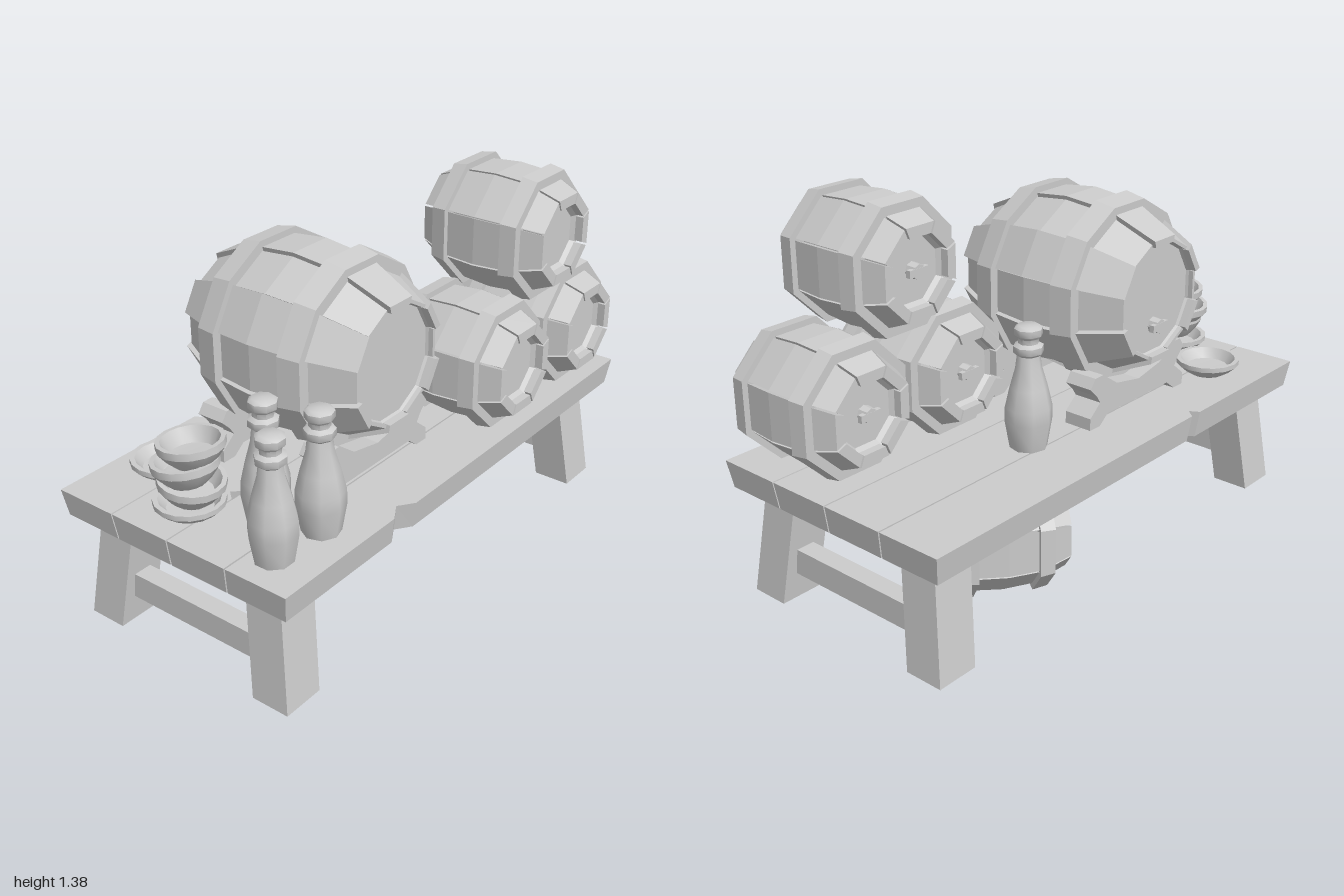
import * as THREE from 'three';
import { toCreasedNormals } from 'three/addons/utils/BufferGeometryUtils.js';

const flat = new THREE.MeshStandardMaterial({ color: 0xcccccc, flatShading: true });
const smooth = new THREE.MeshStandardMaterial({ color: 0xcccccc });

function add(parent, name, geometry, material = flat) {
  const mesh = new THREE.Mesh(geometry, material);
  mesh.name = name;
  parent.add(mesh);
  return mesh;
}

// Move every vertex of a geometry by a rule
function reshape(geometry, rule) {
  const p = geometry.attributes.position;
  const v = new THREE.Vector3();
  for (let i = 0; i < p.count; i++) {
    rule(v.fromBufferAttribute(p, i));
    p.setXYZ(i, v.x, v.y, v.z);
  }
  geometry.computeVertexNormals();
  return geometry;
}

const points = (list) => list.map(([x, y]) => new THREE.Vector2(x, y));

// Regular prism turned about the x axis; profile is [apothem, x]
function turnedX(profile, sides) {
  const k = 1 / Math.cos(Math.PI / sides);
  const pts = points(profile.map(([r, x]) => [r * k, x]));
  return new THREE.LatheGeometry(pts, sides, Math.PI / sides).rotateZ(-Math.PI / 2);
}

// Barrel lying along x, centred on its own origin
function barrel(name, o) {
  const group = new THREE.Group();
  group.name = name;
  // Staves, bulging at the middle
  for (let i = 0; i < o.sides; i++) {
    const low = i % 2 ? o.step : 0;
    const geo = reshape(new THREE.BoxGeometry(1, 1, 1, 4, 1, 1), (v) => {
      const r = v.y > 0 ? o.radii[Math.round(Math.abs(v.x) * 4)] - low : o.inner;
      v.set(v.x * (o.length - low * 2), r, Math.sign(v.z) * (r * Math.tan(Math.PI / o.sides) - o.gap));
    });
    add(group, 'stave', geo.rotateX((i / o.sides) * Math.PI * 2));
  }
  // Recessed heads with a bevelled rim
  const h = o.length / 2 - o.recess;
  const r = o.inner + 0.004;
  add(group, 'heads', turnedX([
    [0, -h], [r * o.bevel, -h], [r, -h - 0.02], [r, h + 0.02], [r * o.bevel, h], [0, h]], o.sides));
  // Two hoops
  for (const s of [-1, 1]) {
    const w = o.hoopWidth / 2;
    const ring = [[o.hoopIn, -w], [s < 0 ? o.hoopEdge : o.hoop, -w],
      [s < 0 ? o.hoop : o.hoopEdge, w], [o.hoopIn, w], [o.hoopIn, -w]];
    add(group, 'hoop', turnedX(ring, o.sides)).position.x = s * o.hoopX;
  }
  // Tap on one head
  const tap = new THREE.Group();
  tap.name = 'tap';
  add(tap, 'tapStem', new THREE.CylinderGeometry(0.026, 0.03, 0.04, 8).rotateZ(Math.PI / 2));
  add(tap, 'tapHandle', new THREE.BoxGeometry(0.018, 0.026, 0.085)).position.x = -0.012;
  tap.position.set(-h - 0.015, o.tapY, 0);
  group.add(tap);
  return group;
}

const large = {
  sides: 12, length: 0.74, radii: [0.325, 0.306, 0.224], inner: 0.2, step: 0.012, gap: 0.002,
  recess: 0.04, bevel: 0.96, hoopX: 0.175, hoopWidth: 0.08, hoopEdge: 0.319, hoop: 0.334,
  hoopIn: 0.27, tapY: -0.1,
};
const small = {
  sides: 8, length: 0.495, radii: [0.214, 0.205, 0.157], inner: 0.12, step: 0, gap: 0.004,
  recess: 0.045, bevel: 0.87, hoopX: 0.143, hoopWidth: 0.058, hoopEdge: 0.218, hoop: 0.2275,
  hoopIn: 0.17, tapY: 0,
};

function table() {
  const group = new THREE.Group();
  group.name = 'table';
  // Planks as outlines in x and z, some with chipped edges
  const chips = {
    0: { left: [[0.31, 0], [0.34, 0.035], [0.36, 0]] },
    1: { right: [[0.69, 0], [0.66, 0.035], [0.63, 0]] },
    3: { right: [[0.46, 0], [0.395, 0.04], [0.34, 0]] },
  };
  for (let i = 0; i < 4; i++) {
    const x0 = -0.494 + i * 0.247 + 0.003;
    const x1 = x0 + 0.241;
    const { left = [], right = [] } = chips[i] || {};
    const outline = [[x0, 0.995], [x1, 0.995], ...right.map(([z, d]) => [x1 - d, z]),
      [x1, -0.995], [x0, -0.995], ...left.map(([z, d]) => [x0 + d, z])];
    const shape = new THREE.Shape(points(outline.map(([x, z]) => [x, -z])));
    const geo = new THREE.ExtrudeGeometry(shape, { depth: 0.1, bevelEnabled: false });
    geo.rotateX(-Math.PI / 2).translate(0, 0.4, 0);
    add(group, 'plank', reshape(geo, (v) => {
      if (v.y < 0.45) { v.x *= 0.97; v.z *= 0.985; }
    }));
  }
  // Splayed legs and stretchers
  for (const sz of [-1, 1]) {
    for (const sx of [-1, 1]) {
      add(group, 'leg', reshape(new THREE.BoxGeometry(0.145, 0.42, 0.158), (v) => {
        const foot = v.y < 0;
        v.x += sx * (foot ? 0.372 : 0.32);
        v.z += sz * (foot ? 0.872 : 0.83);
        v.y += 0.21;
      }));
    }
    add(group, 'stretcher', new THREE.BoxGeometry(0.6, 0.095, 0.07)).position.set(0, 0.148, sz * 0.86);
  }
  return group;
}

// Barrel stand: notched sides, arched foot and a hollow for the barrel
function cradle(x) {
  const side = [[0.28, 0], [0.28, 0.045], [0.225, 0.09], [0.245, 0.12], [0.28, 0.155], [0.255, 0.19], [0.21, 0.19]];
  const hollow = [[0.13, 0.135], [0, 0.11], [-0.13, 0.135]];
  const mirrored = side.map(([z, y]) => [-z, y]).reverse();
  const arch = [[-0.225, 0], [-0.18, 0.035], [0.18, 0.035], [0.225, 0]];
  const shape = new THREE.Shape(points([...side, ...hollow, ...mirrored, ...arch]));
  const geo = new THREE.ExtrudeGeometry(shape, { depth: 0.11, bevelEnabled: false });
  geo.translate(0, 0, -0.055).rotateY(Math.PI / 2);
  const mesh = new THREE.Mesh(geo, flat);
  mesh.name = 'cradle';
  mesh.position.set(x, 0.5, 0.255);
  return mesh;
}

export function createModel() {
  const model = new THREE.Group();
  model.name = 'barrelTable';
  model.add(table());

  // Barrels: large one on its stand, a stack of three, one under the table
  const big = barrel('largeBarrel', large);
  big.position.set(-0.01, 0.93, 0.258);
  model.add(big, cradle(-0.235), cradle(0.215));
  for (const [y, z] of [[0.7275, -0.31], [0.7275, -0.77], [1.149, -0.537]]) {
    const b = barrel('smallBarrel', small);
    b.position.set(0.247, y, z);
    model.add(b);
  }
  const under = barrel('barrelUnderTable', small);
  under.scale.setScalar(0.92);
  under.position.set(-0.155, 0.21, -0.365);
  under.rotation.y = THREE.MathUtils.degToRad(54);
  model.add(under);

  // Bottles
  const bottle = toCreasedNormals(new THREE.LatheGeometry(points([
    [0, 0], [0.066, 0], [0.083, 0.1], [0.082, 0.15], [0.066, 0.22], [0.046, 0.29], [0.04, 0.335],
    [0.052, 0.345], [0.052, 0.368], [0.036, 0.378], [0.036, 0.395], [0.049, 0.407],
    [0.049, 0.43], [0.036, 0.44], [0, 0.44]]), 8), 0.85);
  [[0.165, 0.705], [0.345, 0.65], [0.33, 0.86], [-0.2, -0.25]].forEach(([x, z], i) => {
    const b = add(model, 'bottle', bottle, smooth);
    b.position.set(x, 0.5, z);
    b.rotation.y = i * 0.5 + 0.2;
  });

  // Plates and a leaning stack of bowls
  const dish = (rim, h) => toCreasedNormals(new THREE.LatheGeometry(points([
    [0, 0], [rim * 0.55, 0], [rim * 0.78, h * 0.3], [rim, h * 0.7], [rim, h], [rim * 0.86, h],
    [rim * 0.65, h * 0.4], [0, h * 0.35]]), 16), 0.6);
  const plate = dish(0.121, 0.06);
  const bowl = dish(0.114, 0.085);
  for (const [name, geo, x, y, z, tilt] of [
    ['plate', plate, -0.298, 0.5, 0.695, 0], ['plate', plate, -0.053, 0.5, 0.83, 0],
    ['bowl', bowl, -0.045, 0.555, 0.83, -0.1], ['bowl', bowl, -0.055, 0.615, 0.83, 0.12],
    ['bowl', bowl, -0.04, 0.685, 0.815, 0.1]]) {
    const d = add(model, name, geo, smooth);
    d.position.set(x, y, z);
    d.rotation.z = tilt;
  }
  return model;
}
